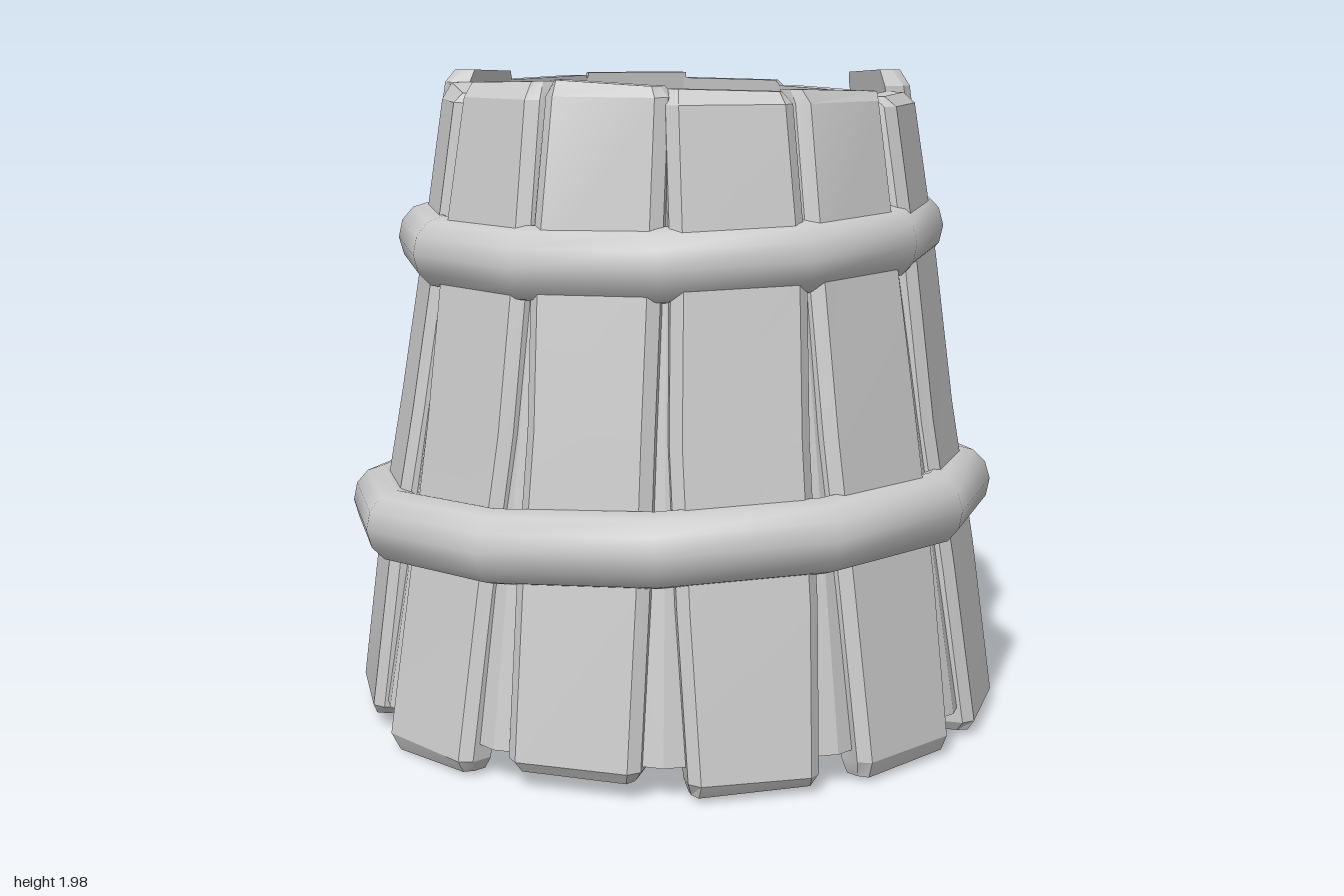
import * as THREE from 'three';
import { toCreasedNormals } from 'three/addons/utils/BufferGeometryUtils.js';

const material = new THREE.MeshStandardMaterial({ color: 0xcccccc });
const flatMaterial = new THREE.MeshStandardMaterial({ color: 0xcccccc, flatShading: true });

const STAVES = 12;
const STEP = (Math.PI * 2) / STAVES;
const LID_Y = 1.83;

// outer radius of the tapered wall at a height
const wallRadius = (y) => 1.0 - 0.155 * y;

// repeatable wobble in -1..1
const wobble = (a, b, c) => {
  const s = Math.sin(a * 12.9898 + b * 78.233 + c * 37.719 + 1.3) * 43758.5453;
  return (s - Math.floor(s)) * 2 - 1;
};

function addMesh(parent, name, geometry, mat = material) {
  const mesh = new THREE.Mesh(geometry, mat);
  mesh.name = name;
  parent.add(mesh);
  return mesh;
}

// one leaning plank with bevelled, uneven edges
function staveGeometry(index, bottom, top) {
  const rows = [0, 0.02, 0.27, 0.5, 0.74, 0.98, 1];
  const geo = new THREE.BoxGeometry(2, 1, 2, 3, 6, 1);
  const pos = geo.attributes.position;
  for (let i = 0; i < pos.count; i++) {
    const row = Math.round((pos.getY(i) + 0.5) * 6);
    const t = rows[row];
    const side = Math.sign(pos.getX(i));
    const isEdge = Math.abs(pos.getX(i)) > 0.9;
    const isEnd = row === 0 || row === 6;
    const isOuter = pos.getZ(i) > 0;

    const half = 0.187 - 0.012 * t + 0.014 * Math.sin(Math.PI * t) + 0.012 * wobble(index, row, side);
    const x = side * (isEdge ? half - (isEnd ? 0.015 : 0) : half - 0.03);
    const y = bottom + (top - bottom) * t + (isEnd ? 0.012 * wobble(index, side, row + 9) : 0);
    let z = wallRadius(y) + 0.008 * wobble(index, row, 4);
    if (isOuter) z -= (isEdge ? 0.03 : 0) + (isEnd ? 0.025 : 0);
    else z = wallRadius(y) - 0.09;
    pos.setXYZ(i, x, y, z);
  }
  return toCreasedNormals(geo, 0.4);
}

// twelve-sided or six-sided turned solid from [radius, y] pairs
function turned(profile, sides, start) {
  const points = profile.map(([r, y]) => new THREE.Vector2(r, y));
  return new THREE.LatheGeometry(points, sides, start);
}

// plank of the lid, its ends following the round wall
function lidPlankGeometry(x0, x1) {
  const shape = new THREE.Shape();
  const n = 6;
  const reach = (x) => Math.sqrt(Math.max(0, 0.65 * 0.65 - x * x));
  for (let i = 0; i <= n; i++) {
    const x = x0 + ((x1 - x0) * i) / n;
    if (i === 0) shape.moveTo(x, -reach(x));
    else shape.lineTo(x, -reach(x));
  }
  for (let i = n; i >= 0; i--) {
    const x = x0 + ((x1 - x0) * i) / n;
    shape.lineTo(x, reach(x));
  }
  const geo = new THREE.ExtrudeGeometry(shape, { depth: 0.03, bevelEnabled: false });
  geo.rotateX(-Math.PI / 2);
  geo.translate(0, LID_Y - 0.03, 0);
  return geo;
}

export function createModel() {
  const model = new THREE.Group();
  model.name = 'woodenBucket';

  // inner wall with a shallow recess underneath
  const corner = 1 / Math.cos(STEP / 2);
  const core = turned([
    [0, 0.18],
    [0.88 * corner, 0.18],
    [0.89 * corner, 0.1],
    [(wallRadius(0.1) - 0.045) * corner, 0.1],
    [(wallRadius(LID_Y) - 0.045) * corner, LID_Y - 0.03],
    [0, LID_Y - 0.03],
  ], STAVES, STEP / 2);
  addMesh(model, 'innerWall', core, flatMaterial);

  // staves, starting at the front and going towards the left
  const tops = [1.94, 1.92, 1.97, 1.91, 1.94, 1.95, 1.94, 1.98, 1.93, 1.95, 1.96, 1.94];
  const bottoms = [0.03, 0.015, 0.04, 0.015, 0.03, 0.05, 0.015, 0.02, 0.04, 0.015, 0.05, 0.02];
  const staves = new THREE.Group();
  staves.name = 'staves';
  model.add(staves);
  for (let i = 0; i < STAVES; i++) {
    const stave = addMesh(staves, 'stave', staveGeometry(i, bottoms[i], tops[i]));
    stave.rotation.y = i * STEP;
  }

  // hoops, each slightly crooked
  const hoops = [
    { name: 'lowerHoop', radius: 0.91, y: 0.665, tiltX: -0.06, tiltZ: 0.0 },
    { name: 'upperHoop', radius: 0.745, y: 1.485, tiltX: 0.0, tiltZ: 0.037 },
  ];
  for (const { name, radius, y, tiltX, tiltZ } of hoops) {
    const geo = new THREE.TorusGeometry(radius, 0.1, 12, STAVES);
    geo.rotateZ(STEP / 2);
    geo.rotateX(Math.PI / 2);
    geo.scale(1, 1.08, 1);
    const hoop = addMesh(model, name, geo);
    hoop.position.set(-0.015, y, -0.015);
    hoop.rotation.set(tiltX, 0, tiltZ);
  }

  // lid planks with narrow grooves between
  const lid = new THREE.Group();
  lid.name = 'lid';
  model.add(lid);
  const planks = [[-0.645, -0.495], [-0.47, -0.2], [-0.165, 0.155], [0.19, 0.465], [0.49, 0.645]];
  for (const [x0, x1] of planks) addMesh(lid, 'lidPlank', lidPlankGeometry(x0, x1), flatMaterial);

  // six-sided plate with a raised, bevelled frame
  const plate = turned([
    [0.34, LID_Y - 0.01],
    [0.295, LID_Y + 0.045],
    [0.255, LID_Y + 0.045],
    [0.245, LID_Y + 0.02],
    [0, LID_Y + 0.02],
  ], 6, 0);
  addMesh(model, 'hexagonPlate', plate, flatMaterial).position.set(-0.01, 0, -0.02);

  return model;
}
